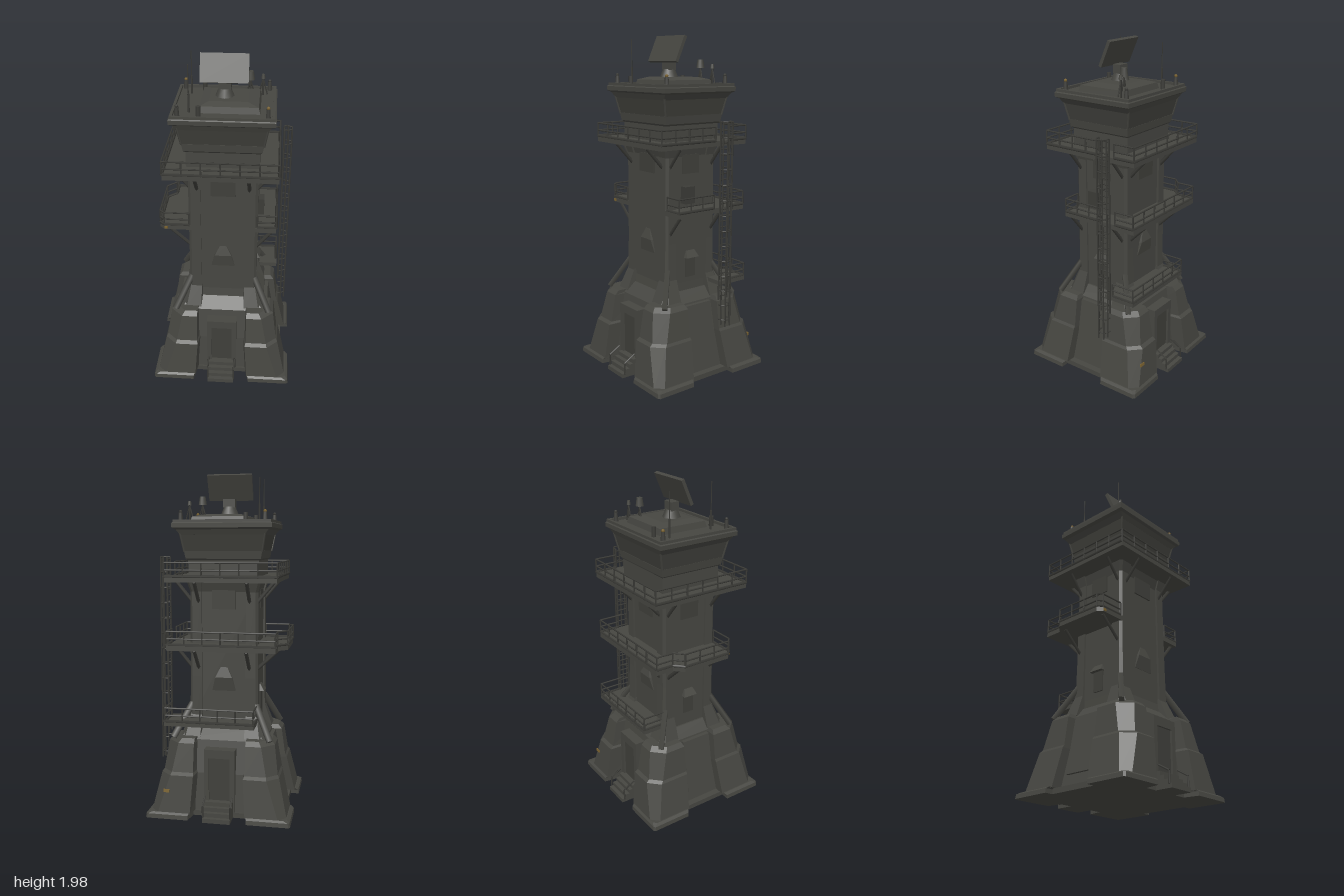
import * as THREE from 'three';

const mat = (name, color) => Object.assign(new THREE.MeshStandardMaterial({ color }), { name });

export function createModel() {
  const concrete = mat('weathered concrete', 0x464641);
  const steel = mat('dark steel', 0x3b3b37);
  const dark = mat('dark glass and doors', 0x3f3f3a);
  const amber = mat('amber paint', 0x7a6230);
  const root = new THREE.Group();

  const add = (name, geo, m, parent = root) => {
    const mesh = new THREE.Mesh(geo, m);
    mesh.name = name;
    parent.add(mesh);
    return mesh;
  };
  const group = (name) => {
    const g = new THREE.Group();
    g.name = name;
    root.add(g);
    return g;
  };
  // box given by its limits
  const box = (name, x0, x1, y0, y1, z0, z1, m, parent) =>
    add(name, new THREE.BoxGeometry(Math.abs(x1 - x0), y1 - y0, Math.abs(z1 - z0))
      .translate((x0 + x1) / 2, (y0 + y1) / 2, (z0 + z1) / 2), m, parent);
  // counterclockwise (from above) plan outlines
  const rect = (xa, xb, za, zb) => {
    const [x0, x1, z0, z1] = [Math.min(xa, xb), Math.max(xa, xb), Math.min(za, zb), Math.max(za, zb)];
    return [[x0, z0], [x0, z1], [x1, z1], [x1, z0]];
  };
  // closed flat-faced solid through convex outlines [y, points]
  const loft = (levels) => {
    const pos = [], n = levels[0][1].length;
    const p = (l, i) => [levels[l][1][i % n][0], levels[l][0], levels[l][1][i % n][1]];
    const top = levels.length - 1;
    for (let l = 0; l < top; l++) for (let i = 0; i < n; i++) {
      pos.push(...p(l, i), ...p(l, i + 1), ...p(l + 1, i + 1), ...p(l, i), ...p(l + 1, i + 1), ...p(l + 1, i));
    }
    for (let i = 1; i < n - 1; i++) {
      pos.push(...p(top, 0), ...p(top, i), ...p(top, i + 1), ...p(0, 0), ...p(0, i + 1), ...p(0, i));
    }
    const g = new THREE.BufferGeometry();
    g.setAttribute('position', new THREE.Float32BufferAttribute(pos, 3));
    g.computeVertexNormals();
    return g;
  };
  const beam = (name, a, b, r, m, parent, sides = 5) => {
    const va = new THREE.Vector3(...a), d = new THREE.Vector3(...b).sub(va);
    const mesh = add(name, new THREE.CylinderGeometry(r, r, d.length(), sides), m, parent);
    mesh.position.copy(va).addScaledVector(d, 0.5);
    mesh.quaternion.setFromUnitVectors(new THREE.Vector3(0, 1, 0), d.normalize());
    return mesh;
  };
  // posts with two rails along a plan path
  const railing = (path, y, h, parent) => {
    for (let i = 0; i < path.length - 1; i++) {
      const [[ax, az], [bx, bz]] = [path[i], path[i + 1]];
      const n = Math.max(1, Math.round(Math.hypot(bx - ax, bz - az) / 0.1));
      for (let k = 0; k <= n; k++) {
        const x = ax + (bx - ax) * k / n, z = az + (bz - az) * k / n;
        beam('railPost', [x, y, z], [x, y + h, z], 0.005, steel, parent);
      }
      for (const f of [0.5, 1]) beam('handrail', [ax, y + h * f, az], [bx, y + h * f, bz], 0.005, steel, parent);
      beam('toeBoard', [ax, y + 0.008, az], [bx, y + 0.008, bz], 0.009, steel, parent, 4);
    }
  };

  // base: plinth, core and four stepped corner buttresses
  const base = group('base');
  box('plinth', -0.37, 0.37, 0, 0.03, -0.31, 0.31, concrete, base);
  add('baseCore', loft([[0.03, rect(-0.33, 0.33, -0.3, 0.3)], [0.25, rect(-0.29, 0.29, -0.28, 0.28)],
    [0.44, rect(-0.25, 0.25, -0.245, 0.245)], [0.5, rect(-0.2, 0.2, -0.18, 0.18)]]), concrete, base);
  for (const s of [-1, 1]) for (const t of [-1, 1]) {
    // plan of a buttress, narrowing outward by c, outer corner cut by k
    const b = (x0, x1, z0, z1, c, k) => {
      const pts = [[x0, z0], [x0 + c, z1], [x1 - k, z1], [x1, z1 - k], [x1, z0]].map(([x, z]) => [s * x, t * z]);
      return s * t > 0 ? pts : pts.reverse();
    };
    add('buttressFoot', loft([[0, b(0.13, 0.42, 0.15, 0.4, 0.04, 0.01)], [0.025, b(0.13, 0.417, 0.15, 0.397, 0.04, 0.01)],
      [0.035, b(0.125, 0.4, 0.14, 0.385, 0.04, 0.02)]]), concrete, base);
    add('buttress', loft([[0.03, b(0.12, 0.395, 0.13, 0.385, 0.04, 0.045)], [0.25, b(0.115, 0.345, 0.11, 0.36, 0.03, 0.065)],
      [0.265, b(0.12, 0.335, 0.11, 0.34, 0.03, 0.06)], [0.43, b(0.13, 0.312, 0.11, 0.31, 0.02, 0.07)],
      [0.455, b(0.14, 0.29, 0.12, 0.285, 0.01, 0.065)]]), concrete, base);
    add('buttressShoulder', loft([[0.45, b(0.12, 0.25, 0.11, 0.235, 0.01, 0.03)], [0.58, b(0.12, 0.205, 0.11, 0.18, 0.01, 0.01)]]), concrete, base);
    beam('buttressBrace', [s * 0.285, 0.45, t * 0.26], [s * 0.19, 0.64, t * 0.165], 0.02, concrete, base, 4);
  }
  // side wall panels
  for (const s of [-1, 1]) {
    add('sidePanel', loft([[0.1, rect(s * 0.2, s * 0.335, -0.09, 0.1)], [0.43, rect(s * 0.2, s * 0.275, -0.09, 0.1)]]), concrete, base);
  }
  const plate = add('warningPlate', new THREE.BoxGeometry(0.035, 0.018, 0.008), amber, base);
  plate.position.set(0.3, 0.16, -0.371);
  plate.rotation.x = 0.113;

  // entrances with steps at front and back
  for (const t of [-1, 1]) {
    const e = group(t > 0 ? 'frontEntrance' : 'backEntrance');
    for (const s of [-1, 1]) {
      box('doorJamb', s * 0.062, s * 0.09, 0.03, 0.39, t * 0.2, t * 0.315, concrete, e);
      beam('stepRail', [s * 0.08, 0.13, t * 0.33], [s * 0.08, 0.09, t * 0.4], 0.005, steel, e);
      beam('stepPost', [s * 0.08, 0.02, t * 0.4], [s * 0.08, 0.09, t * 0.4], 0.005, steel, e);
    }
    box('doorLintel', -0.09, 0.09, 0.35, 0.4, t * 0.2, t * 0.315, concrete, e);
    box('door', -0.062, 0.062, 0.09, 0.35, t * 0.295, t * 0.302, dark, e);
    for (let i = 0; i < 4; i++) box('step', -0.08, 0.08, 0, 0.025 + i * 0.024, t * 0.28, t * (0.415 - i * 0.025), concrete, e);
  }

  // shaft: corner pillars around a slightly recessed core
  const shaft = group('shaft');
  add('shaftCore', loft([[0.44, rect(-0.192, 0.192, -0.185, 0.185)], [0.55, rect(-0.19, 0.19, -0.168, 0.168)],
    [1.3, rect(-0.19, 0.19, -0.166, 0.166)], [1.37, rect(-0.21, 0.21, -0.19, 0.19)]]), concrete, shaft);
  for (const s of [-1, 1]) for (const t of [-1, 1]) {
    const pillar = (w, d) => {
      const pts = [[0.13, 0.11], [0.13, d], [w - 0.014, d], [w, d - 0.014], [w, 0.11]].map(([x, z]) => [s * x, t * z]);
      return s * t > 0 ? pts : pts.reverse();
    };
    add('cornerPillar', loft([[0.44, pillar(0.205, 0.185)], [0.8, pillar(0.201, 0.18)],
      [1.3, pillar(0.2, 0.178)], [1.37, pillar(0.22, 0.2)]]), concrete, shaft);
  }
  for (const t of [-1, 1]) {
    box('upperShutter', -0.07, 0.07, 1.2, 1.31, t * 0.16, t * 0.175, dark, shaft);
    add('faceHood', loft([[0.72, rect(-0.07, 0.07, t * 0.15, t * 0.17)], [0.8, rect(-0.05, 0.05, t * 0.15, t * 0.185)],
      [0.86, rect(-0.02, 0.02, t * 0.15, t * 0.17)]]), concrete, shaft);
    box('sideWindow', t * 0.18, t * 0.197, 0.58, 0.7, -0.035, 0.035, dark, shaft);
    add('windowHood', loft([[0.7, rect(t * 0.18, t * 0.22, -0.045, 0.045)], [0.74, rect(t * 0.18, t * 0.195, -0.03, 0.03)]]), concrete, shaft);
    box('sideVent', t * 0.18, t * 0.197, 1.2, 1.31, -0.06, 0.06, dark, shaft);
  }
  box('equipmentBox', 0.18, 0.235, 1.03, 1.13, 0, 0.07, steel, shaft);

  // lower landing: back and ladder side
  const low = group('lowerGallery');
  box('deckBack', -0.2, 0.325, 0.53, 0.555, -0.318, -0.16, concrete, low);
  box('deckSide', 0.18, 0.325, 0.53, 0.555, -0.16, -0.12, concrete, low);
  railing([[-0.195, -0.18], [-0.195, -0.315], [0.32, -0.315], [0.32, -0.17]], 0.55, 0.085, low);

  // middle gallery: back, side walks and a projecting right balcony
  const mid = group('middleGallery');
  box('deckBack', -0.32, 0.31, 0.97, 1, -0.31, -0.16, concrete, mid);
  box('deckLeft', 0.18, 0.31, 0.97, 1, -0.16, 0.18, concrete, mid);
  const balcony = [[-0.32, -0.2], [-0.372, -0.15], [-0.372, 0.15], [-0.345, 0.178], [-0.18, 0.178], [-0.18, -0.2]];
  add('deckRight', loft([[0.97, balcony], [1, balcony]]), concrete, mid);
  railing([[-0.2, 0.175], [-0.345, 0.175], [-0.37, 0.15], [-0.37, -0.15], [-0.318, -0.2], [-0.318, -0.305], [0.31, -0.305], [0.31, -0.18]], 0.995, 0.085, mid);
  railing([[0.31, -0.08], [0.31, 0.175], [0.2, 0.175]], 0.995, 0.085, mid);
  box('balconyPlate', -0.345, -0.325, 0.975, 0.99, 0.177, 0.182, amber, mid);

  // upper gallery all round
  const up = group('upperGallery');
  box('deck', -0.325, 0.315, 1.36, 1.39, -0.315, 0.303, concrete, up);
  railing([[0.315, -0.08], [0.315, 0.3], [-0.325, 0.3], [-0.325, -0.313], [0.315, -0.313], [0.315, -0.18]], 1.385, 0.085, up);

  // diagonal gallery brackets
  for (const s of [-1, 1]) for (const t of [-0.15, 0.15]) {
    beam('bracket', [s * 0.29, 1.36, t], [s * 0.19, 1.24, t], 0.011, steel, up, 4);
    beam('bracket', [t, 1.36, s * 0.28], [t, 1.24, s * 0.17], 0.011, steel, up, 4);
    beam('bracket', [s > 0 ? 0.29 : -0.32, 0.97, t], [s * 0.19, 0.85, t], 0.011, steel, mid, 4);
    if (s < 0) beam('bracket', [t, 0.97, -0.29], [t, 0.85, -0.17], 0.011, steel, mid, 4);
  }

  // caged ladder on the left side
  const ladder = group('ladder');
  for (const z of [-0.1, -0.165]) {
    beam('ladderRail', [0.338, 0.45, z], [0.338, 1.5, z], 0.006, steel, ladder);
    beam('lowerRail', [0.36, 0.3, z], [0.36, 1.5, z], 0.005, steel, ladder);
  }
  for (const z of [-0.115, -0.15]) beam('cageBar', [0.382, 0.29, z], [0.382, 1.5, z], 0.005, steel, ladder);
  for (let y = 0.47; y < 1.5; y += 0.035) beam('rung', [0.338, y, -0.165], [0.338, y, -0.1], 0.004, steel, ladder);
  for (let y = 0.33; y < 1.51; y += 0.09) {
    const hoop = [[0.338, -0.165], [0.36, -0.165], [0.382, -0.15], [0.382, -0.115], [0.36, -0.1], [0.338, -0.1]];
    for (let i = 0; i < 5; i++) {
      beam('cageHoop', [hoop[i][0], y, hoop[i][1]], [hoop[i + 1][0], y, hoop[i + 1][1]], 0.004, steel, ladder);
    }
  }

  // control cab flaring outward, with slanted window band
  const cab = group('controlCab');
  const sq = (w, d) => rect(-w, w, -d, d);
  add('cabWall', loft([[1.38, sq(0.205, 0.19)], [1.48, sq(0.205, 0.19)], [1.49, sq(0.218, 0.2)], [1.535, sq(0.226, 0.207)]]), concrete, cab);
  add('cabWindows', loft([[1.53, sq(0.224, 0.204)], [1.63, sq(0.243, 0.226)]]), dark, cab);
  for (const s of [-1, 1]) for (const k of [-1, 1]) {
    beam('cornerMullion', [k * 0.224, 1.53, s * 0.204], [k * 0.243, 1.635, s * 0.226], 0.007, concrete, cab, 4);
  }
  add('roofSlab', loft([[1.625, sq(0.243, 0.226)], [1.655, sq(0.265, 0.24)], [1.665, sq(0.285, 0.255)],
    [1.69, sq(0.287, 0.256)], [1.695, sq(0.28, 0.25)]]), concrete, cab);
  for (const s of [-1, 1]) {
    box('parapet', -0.28, 0.28, 1.69, 1.71, s * 0.235, s * 0.25, concrete, cab);
    box('parapet', s * 0.265, s * 0.28, 1.69, 1.71, -0.235, 0.235, concrete, cab);
  }
  add('roofHouse', loft([[1.69, rect(-0.14, 0.2, -0.165, 0.155)], [1.73, rect(-0.13, 0.19, -0.155, 0.145)],
    [1.745, rect(-0.08, 0.13, -0.1, 0.1)]]), concrete, cab);

  // radar on a pedestal
  const radar = group('radar');
  add('pedestal', new THREE.CylinderGeometry(0.035, 0.055, 0.05, 8).translate(0, 1.765, 0.01), concrete, radar);
  box('turntable', -0.035, 0.035, 1.785, 1.835, -0.015, 0.035, concrete, radar);
  const panel = add('radarPanel', new THREE.BoxGeometry(0.265, 0.158, 0.02), concrete, radar);
  panel.position.set(-0.002, 1.903, 0.022);
  panel.rotation.x = -0.42;

  // roof lamps, masts and sensor domes
  const gear = group('roofGear');
  for (const s of [-1, 1]) for (const t of [-1, 1]) {
    add('lampBase', new THREE.CylinderGeometry(0.011, 0.015, 0.05, 6).translate(s * 0.242, 1.725, t * 0.21), steel, gear);
    add('lamp', new THREE.SphereGeometry(0.01, 6, 4).translate(s * 0.242, 1.755, t * 0.21), t * s > 0 ? amber : steel, gear);
  }
  for (const [x, z, top] of [[-0.185, 0.145, 1.96], [-0.2, -0.14, 1.945]]) {
    beam('mastFoot', [x, 1.69, z], [x, 1.8, z], 0.006, steel, gear);
    beam('mast', [x, 1.8, z], [x, top, z], 0.003, steel, gear);
  }
  for (const [x, z, y, r] of [[0.135, -0.115, 1.82, 0.024], [0.205, -0.145, 1.805, 0.012]]) {
    beam('sensorPost', [x, 1.69, z], [x, y, z], 0.006, steel, gear);
    add('sensorDome', new THREE.CylinderGeometry(r * 0.7, r, r * 2, 8).translate(x, y, z), concrete, gear);
    for (const s of [-1, 1]) beam('sensorLeg', [x + s * 0.025, 1.7, z], [x, y - r, z], 0.004, steel, gear);
  }
  for (const z of [-0.195, 0.19]) {
    add('vent', new THREE.CylinderGeometry(0.014, 0.014, 0.06, 6).translate(-0.13, 1.72, z), steel, gear);
  }
  return root;
}
